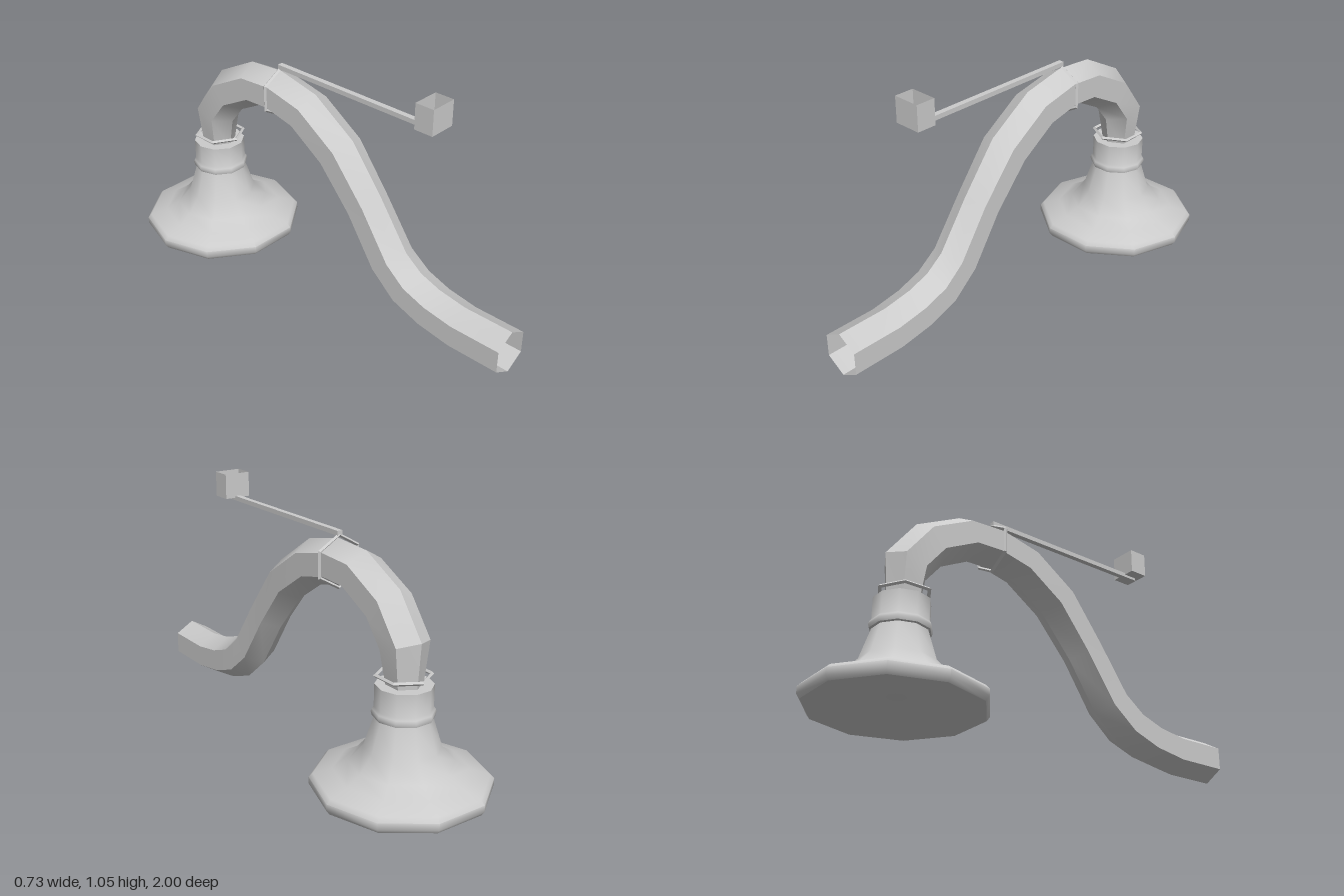
import * as THREE from 'three';
import { toCreasedNormals } from 'three/addons/utils/BufferGeometryUtils.js';

const material = new THREE.MeshStandardMaterial({ color: 0xcccccc, side: THREE.DoubleSide });

function part(name, geometry, crease = 0.6) {
  const mesh = new THREE.Mesh(toCreasedNormals(geometry, crease), material);
  mesh.name = name;
  return mesh;
}

// Hexagonal open tube swept along stations [z, y, radius] in the x = 0 plane
function hexPipe(stations) {
  const positions = [], index = [], sides = 6;
  stations.forEach(([z, y, r], j) => {
    const a = stations[Math.max(j - 1, 0)];
    const b = stations[Math.min(j + 1, stations.length - 1)];
    const length = Math.hypot(b[0] - a[0], b[1] - a[1]);
    const nz = (b[1] - a[1]) / length, ny = (a[0] - b[0]) / length;
    for (let i = 0; i < sides; i++) {
      const angle = (i / sides) * Math.PI * 2;
      const up = r * Math.cos(angle);
      positions.push(r * Math.sin(angle), y + ny * up, z + nz * up);
      if (j < stations.length - 1) {
        const p = j * sides + i, q = j * sides + (i + 1) % sides;
        index.push(p, q, p + sides, q, q + sides, p + sides);
      }
    }
  });
  const geometry = new THREE.BufferGeometry();
  geometry.setAttribute('position', new THREE.Float32BufferAttribute(positions, 3));
  geometry.setIndex(index);
  return geometry;
}

// Thin hexagonal clamp with a corner pointing up
const hexRing = () => new THREE.TorusGeometry(0.109, 0.008, 4, 6).rotateZ(Math.PI / 2);

export function createModel() {
  const model = new THREE.Group();
  model.name = 'showerArm';

  // Curved pipe
  model.add(part('pipe', hexPipe([
    [1, 0.117, 0.098], [0.77, 0.117, 0.098], [0.625, 0.14, 0.098], [0.505, 0.183, 0.098],
    [0.4, 0.268, 0.095], [0.26, 0.475, 0.092], [0.105, 0.667, 0.098], [-0.075, 0.788, 0.098],
    [-0.24, 0.825, 0.097], [-0.38, 0.818, 0.097], [-0.55, 0.73, 0.098],
    [-0.65, 0.6, 0.098], [-0.655, 0.43, 0.072],
  ])));

  // Flared head with collar, bead and recessed underside
  const profile = [
    [0, 0.05], [0.256, 0.05], [0.345, 0], [0.35, 0], [0.363, 0.018], [0.363, 0.046],
    [0.347, 0.063], [0.27, 0.085], [0.21, 0.12], [0.153, 0.185], [0.113, 0.312],
    [0.122, 0.315], [0.126, 0.33], [0.122, 0.342], [0.115, 0.352], [0.115, 0.445], [0, 0.445],
  ].map(([x, y]) => new THREE.Vector2(x, y));
  const head = part('showerHead', new THREE.LatheGeometry(profile, 10, Math.PI / 10), 0.85);
  head.position.z = -0.655;
  model.add(head);

  // Clamps around the neck and the top of the arch
  const neckClamp = part('neckClamp', hexRing().rotateX(Math.PI / 2));
  neckClamp.position.set(0, 0.48, -0.648);
  const archClamp = part('archClamp', hexRing());
  archClamp.position.set(0, 0.826, -0.235);
  model.add(neckClamp, archClamp);

  // Rod reaching forward from the arch clamp
  const rod = part('rod', new THREE.BoxGeometry(0.024, 0.02, 0.83));
  rod.position.set(0, 0.943, 0.175);
  model.add(rod);

  // Open-topped box at the end of the rod
  const holder = new THREE.Group();
  holder.name = 'openBox';
  const [w, h, d] = [0.12, 0.11, 0.085];
  for (const s of [-1, 1]) {
    const side = part('boxSide', new THREE.PlaneGeometry(d, h).rotateY(s * Math.PI / 2));
    side.position.x = s * w / 2;
    const end = part('boxEnd', new THREE.PlaneGeometry(w, h).rotateY(s > 0 ? 0 : Math.PI));
    end.position.z = s * d / 2;
    holder.add(side, end);
  }
  const floor = part('boxFloor', new THREE.PlaneGeometry(w, d).rotateX(Math.PI / 2));
  floor.position.y = -h / 2;
  holder.add(floor);
  holder.position.set(0, 1, 0.567);
  model.add(holder);

  return model;
}
